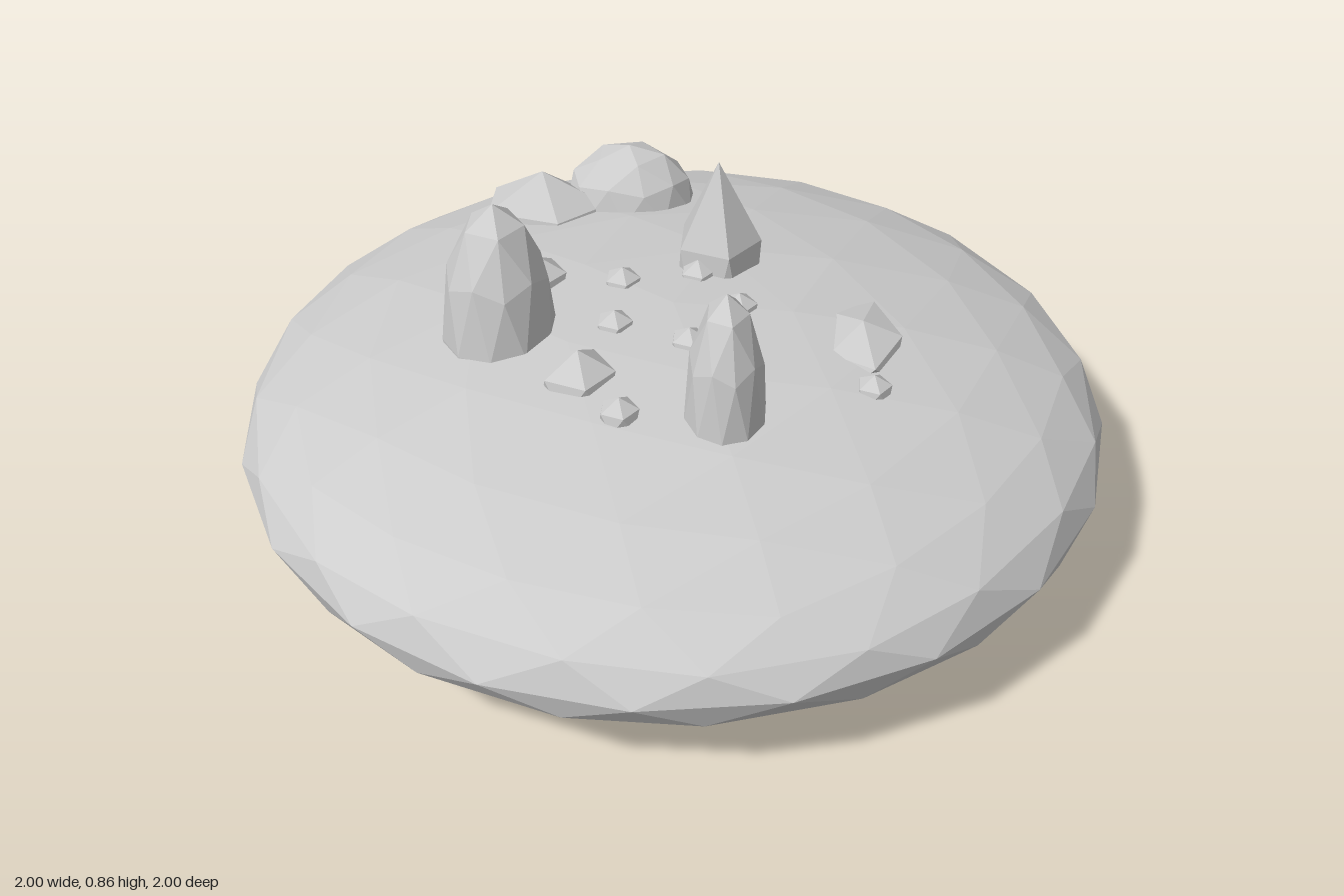
import * as THREE from 'three';

// Unit icosphere standing on a vertex, split by repeated edge midpoints.
function icosphere(levels) {
  const ring = (y, start) => Array.from({ length: 5 }, (_, i) => {
    const a = start + i * Math.PI * 2 / 5, r = 2 / Math.sqrt(5);
    return new THREE.Vector3(Math.cos(a) * r, y, Math.sin(a) * r);
  });
  const top = new THREE.Vector3(0, 1, 0), bottom = new THREE.Vector3(0, -1, 0);
  const up = ring(1 / Math.sqrt(5), 0), low = ring(-1 / Math.sqrt(5), Math.PI / 5);
  let faces = [];
  for (let i = 0; i < 5; i++) {
    const j = (i + 1) % 5;
    faces.push([top, up[j], up[i]], [up[i], up[j], low[i]],
      [low[i], up[j], low[j]], [bottom, low[i], low[j]]);
  }
  const mid = (a, b) => a.clone().add(b).normalize();
  for (let n = 0; n < levels; n++) {
    faces = faces.flatMap(([a, b, c]) => {
      const ab = mid(a, b), bc = mid(b, c), ca = mid(c, a);
      return [[a, ab, ca], [ab, b, bc], [ca, bc, c], [ab, bc, ca]];
    });
  }
  const geometry = new THREE.BufferGeometry().setFromPoints(faces.flat());
  geometry.computeVertexNormals();
  return geometry;
}

export function createModel() {
  const group = new THREE.Group();
  const stone = new THREE.MeshStandardMaterial({ color: 0xcccccc });
  stone.name = 'grey stone';
  stone.flatShading = true;
  const shapes = [icosphere(0), icosphere(1), icosphere(2)];

  function add(name, level, [x, y, z], [rx, ry, rz]) {
    const mesh = new THREE.Mesh(shapes[level], stone);
    mesh.name = name;
    mesh.position.set(x, y, z);
    mesh.scale.set(rx, ry, rz);
    group.add(mesh);
  }

  // Flattened island
  add('island', 2, [0, 0.286, 0], [1, 0.284, 1]);

  // Rounded boulders
  add('tallBoulder', 1, [-0.385, 0.53, 0.087], [0.13, 0.33, 0.137]);
  add('slimBoulder', 1, [0.139, 0.53, 0.362], [0.09, 0.305, 0.11]);
  add('wideBoulder', 1, [-0.155, 0.5, -0.568], [0.167, 0.16, 0.128]);

  // Sharp and low rocks
  add('spikeRock', 0, [0.088, 0.45, -0.215], [0.115, 0.367, 0.112]);
  add('pointedRock', 0, [-0.365, 0.46, -0.488], [0.18, 0.16, 0.122]);
  add('flatRock', 0, [0.43, 0.51, 0.05], [0.1, 0.066, 0.16]);

  // Scattered pebbles: x, top, z, radius
  const pebbles = [
    [-0.32, 0.608, -0.107, 0.07], [-0.185, 0.613, 0.267, 0.092],
    [-0.125, 0.598, -0.095, 0.047], [0.15, 0.598, -0.007, 0.047],
    [-0.125, 0.598, 0.085, 0.047], [0.047, 0.598, 0.14, 0.047],
    [0.047, 0.598, -0.14, 0.047], [-0.083, 0.586, 0.395, 0.049],
    [0.455, 0.56, 0.235, 0.044],
  ];
  for (const [x, top, z, r] of pebbles) add('pebble', 0, [x, top - r, z], [r, r, r]);

  return group;
}
